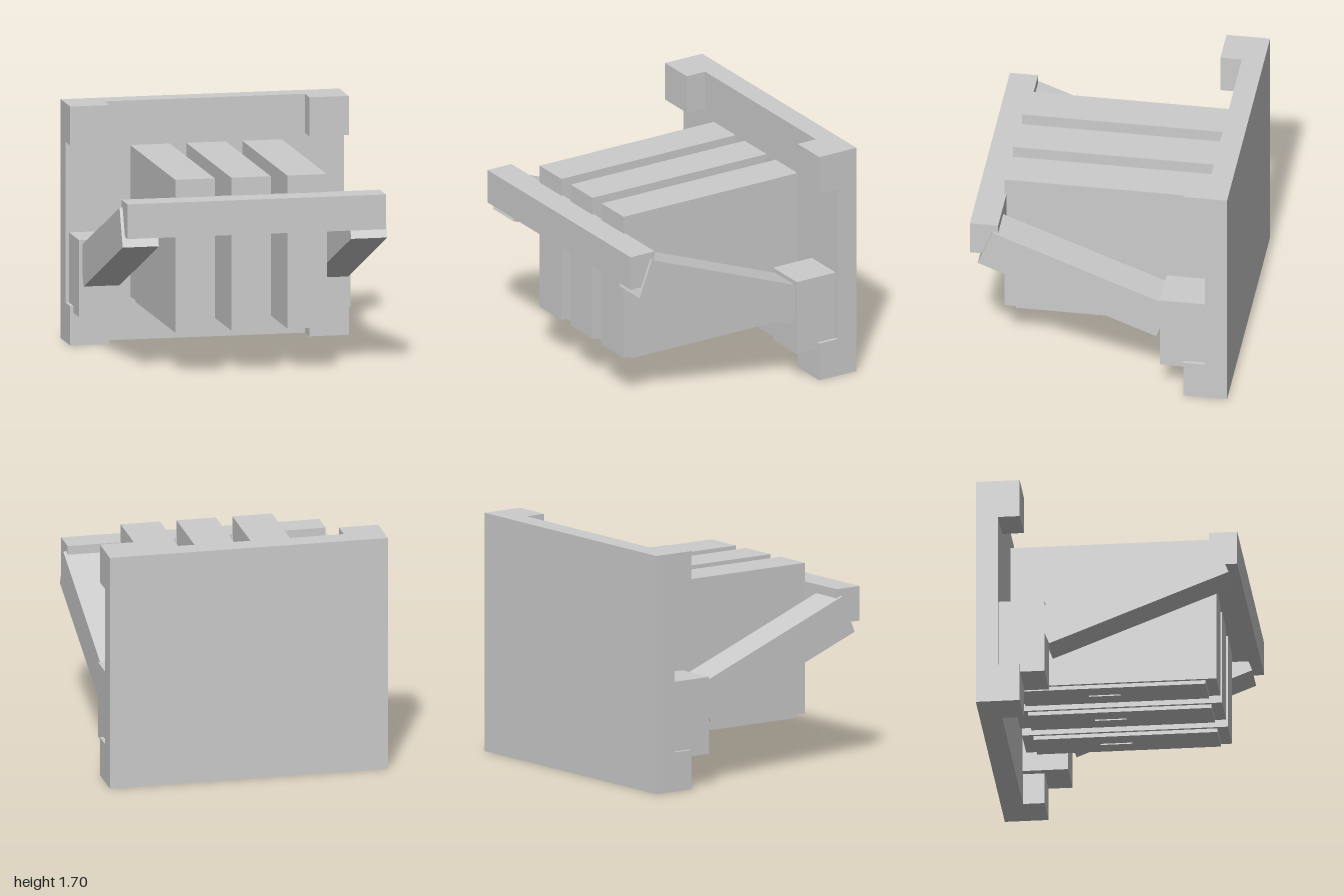
import * as THREE from 'three';

const grey = new THREE.MeshStandardMaterial({ color: 0xcccccc });
grey.name = 'light grey';

export function createModel() {
  const model = new THREE.Group();
  model.name = 'wallRack';

  // Box given by its lower and upper limits on each axis
  const box = (name, [x0, x1], [y0, y1], [z0, z1]) => {
    const mesh = new THREE.Mesh(new THREE.BoxGeometry(x1 - x0, y1 - y0, z1 - z0), grey);
    mesh.position.set((x0 + x1) / 2, (y0 + y1) / 2, (z0 + z1) / 2);
    mesh.name = name;
    model.add(mesh);
  };

  // Back plate and front crossbar
  box('backPlate', [-1, 1], [0, 1.7], [-0.917, -0.76]);
  box('crossbar', [-0.928, 0.928], [1.015, 1.262], [0.717, 0.917]);

  // Sloping arm outline, drawn in (z, y); its rear end sits inside the bracket
  const armShape = new THREE.Shape([
    [0.755, 1.212], [-0.51, 0.719], [-0.406, 0.452], [0.858, 0.945],
  ].map(([z, y]) => new THREE.Vector2(-z, y)));
  const armGeometry = new THREE.ExtrudeGeometry(armShape, { depth: 0.26, bevelEnabled: false });
  armGeometry.translate(0, 0, -0.13).rotateY(Math.PI / 2);

  for (const side of [-1, 1]) {
    const label = side > 0 ? 'left' : 'right';
    const span = (a, b) => (side > 0 ? [a, b] : [-b, -a]);

    // Corner blocks
    box(label + 'TopCorner', span(0.718, 1), [1.422, 1.7], [-0.76, -0.608]);
    box(label + 'BottomCorner', span(0.718, 1), [0, 0.28], [-0.76, -0.608]);

    // Bracket and arm
    box(label + 'Bracket', span(0.665, 0.975), [0.23, 0.778], [-0.76, -0.437]);
    const arm = new THREE.Mesh(armGeometry, grey);
    arm.position.x = side * 0.82;
    arm.name = label + 'Arm';
    model.add(arm);
  }

  // Three upright slabs, each with a shallow base and a small centre tab
  [-0.402, 0, 0.402].forEach((x, i) => {
    const across = (w) => [x - w, x + w];
    box('slab' + (i + 1), across(0.142), [0.315, 1.39], [-0.72, 0.73]);
    box('slabBase' + (i + 1), across(0.122), [0.287, 0.315], [-0.64, 0.653]);
    box('slabTab' + (i + 1), across(0.008), [0.278, 0.287], [-0.18, 0.043]);
  });

  return model;
}
